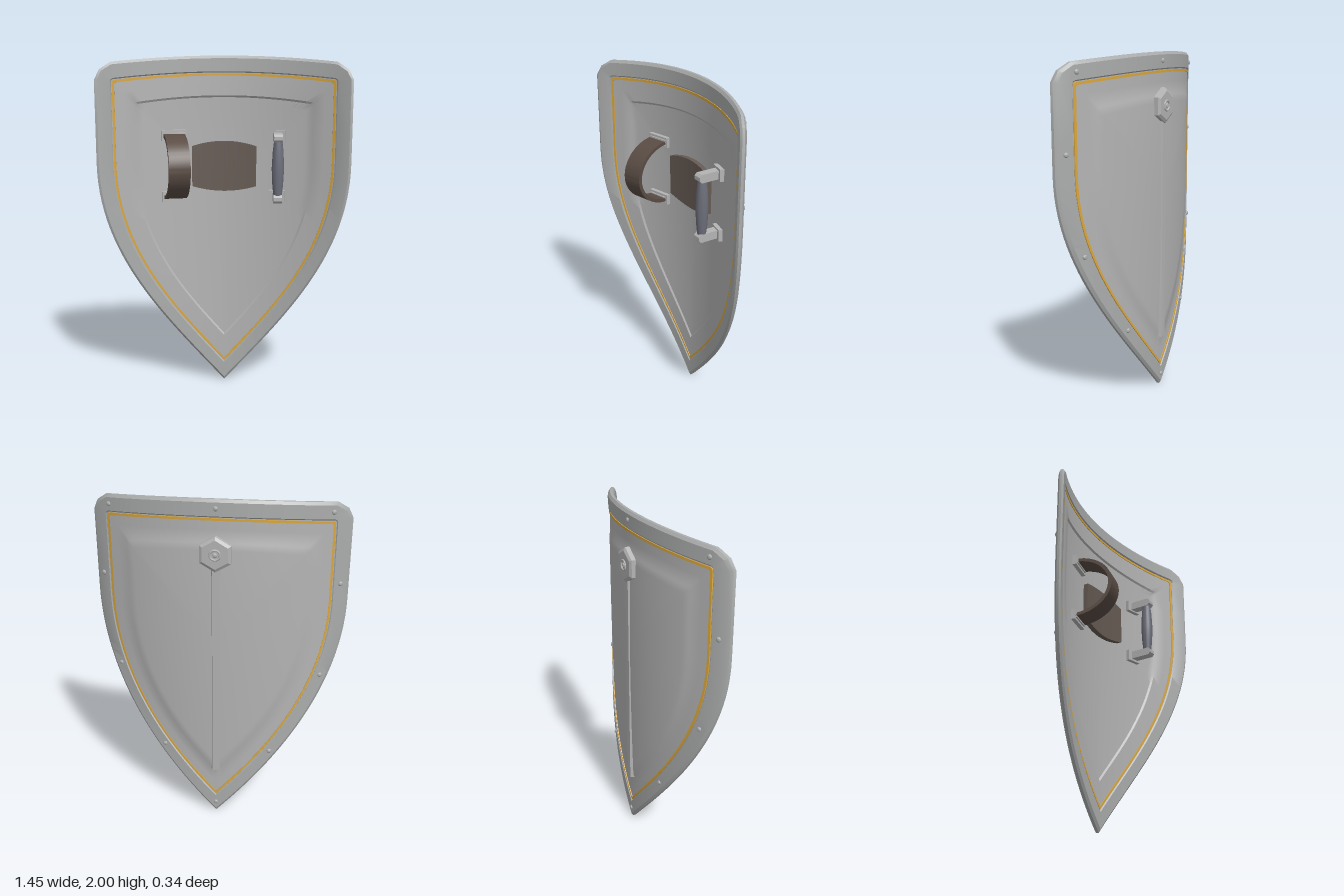
import * as THREE from 'three';
import { toCreasedNormals } from 'three/addons/utils/BufferGeometryUtils.js';

const R = 1.34; // radius of the shield's horizontal bend
const bend = (x) => -0.12 + R - Math.sqrt(R * R - x * x);
const tilt = (x) => -Math.asin(x / R);

// Heater outline inset by d, counterclockwise from the tip
function outline(d) {
  const w = 0.725 - d, tip = 0.005 + 1.4 * d, c = Math.max(0.012, 0.1 - d);
  const top = 2 - 1.1 * d, corner = 1.965 - 1.1 * d;
  const half = [];
  const side = new THREE.CubicBezierCurve(
    new THREE.Vector2(0, tip), new THREE.Vector2(0.38 - 0.72 * d, 0.42 + 0.65 * d),
    new THREE.Vector2(w, 0.85 + 0.2 * d), new THREE.Vector2(w, 1.4));
  for (let i = 0; i <= 28; i++) half.push(side.getPoint(i / 28));
  half.push(new THREE.Vector2(w, 1.6), new THREE.Vector2(w, corner - c));
  half.push(new THREE.Vector2(w - 0.27 * c, corner - 0.42 * c));
  for (let i = 0; i <= 16; i++) {
    const k = 1 - i / 16;
    half.push(new THREE.Vector2((w - 0.88 * c) * k, top - (top - corner) * k * k));
  }
  const mirrored = half.slice(1, -1).reverse().map((p) => new THREE.Vector2(-p.x, p.y));
  return half.concat(mirrored);
}

// Skin between outlines; each ring is [inset, depth offset, scale about the middle]
function loft(rings, closed) {
  const pos = [], index = [];
  let n = 0;
  for (const [d, off, s = 1] of rings) {
    const pts = outline(d);
    n = pts.length;
    for (const p of pts) {
      const x = p.x * s, y = 1.2 + (p.y - 1.2) * s;
      pos.push(x, y, bend(x) + off);
    }
  }
  const m = rings.length;
  for (let i = 0; i < (closed ? m : m - 1); i++) {
    for (let j = 0; j < n; j++) {
      const k = (j + 1) % n, o = ((i + 1) % m) * n;
      const a = i * n + j, b = i * n + k, c = o + j, e = o + k;
      index.push(a, c, b, b, c, e);
    }
  }
  const g = new THREE.BufferGeometry();
  g.setAttribute('position', new THREE.Float32BufferAttribute(pos, 3));
  g.setIndex(index);
  return g;
}

export function createModel() {
  const model = new THREE.Group();
  const paint = (name, color) => {
    const m = new THREE.MeshStandardMaterial({ color });
    m.name = name;
    return m;
  };
  const steel = paint('steel', 0xb4b4b4);
  const rimSteel = paint('rim steel', 0xabacac);
  const gold = paint('gold', 0xd9a63c);
  const padLeather = paint('pad leather', 0x665b54);
  const strapLeather = paint('strap leather', 0x5a4c44);
  const gripWrap = paint('grip wrap', 0x6c6e7a);

  const add = (parent, name, geometry, material, x = 0, y = 0, z = 0) => {
    const mesh = new THREE.Mesh(toCreasedNormals(geometry, 0.5), material);
    mesh.name = name;
    mesh.position.set(x, y, z);
    parent.add(mesh);
    return mesh;
  };

  // Rim with bevelled outer edge
  add(model, 'rim', loft([
    [0.088, 0.014], [0.082, 0.02], [0.014, 0.02], [0, 0.008], [0, -0.008],
    [0.014, -0.02], [0.082, -0.02], [0.088, -0.014],
  ], true), rimSteel);

  // Inlay line showing on both faces
  add(model, 'goldInlay', loft([[0.104, 0.016], [0.092, 0.016], [0.092, -0.016], [0.104, -0.016]], true), gold);

  // Panel with a dished centre: front rings out from the middle, back rings in again
  const scales = [0, 0.15, 0.3, 0.45, 0.6, 0.72, 0.84, 0.93];
  const dish = (s) => 0.01 * (1 - s * s);
  const front = scales.map((s) => [0.217, 0.004 - dish(s), s]);
  const back = scales.map((s) => [0.217, -0.016 - dish(s), s]).reverse();
  add(model, 'panel', loft([
    ...front, [0.217, 0.004], [0.207, 0.012], [0.15, 0.012], [0.086, 0.012],
    [0.086, -0.011], [0.15, -0.011], [0.207, -0.011], [0.217, -0.016], ...back,
  ], false), steel);

  // Central ridge on the back
  const ridgeShape = new THREE.Shape([[-0.03, 0], [0.03, 0], [0.018, 0.026], [-0.018, 0.026]]
    .map(([x, y]) => new THREE.Vector2(x, y)));
  const ridge = new THREE.ExtrudeGeometry(ridgeShape, { depth: 1.36, bevelEnabled: false });
  ridge.rotateX(-Math.PI / 2);
  add(model, 'ridge', ridge, steel, 0, 0.32, -0.127);

  // Hexagonal boss with a ring and a stud
  const boss = new THREE.Group();
  boss.name = 'hexBoss';
  boss.position.set(0, 1.705, -0.14);
  model.add(boss);
  const disc = (r1, r2, h, n) => new THREE.CylinderGeometry(r1, r2, h, n).rotateX(-Math.PI / 2);
  add(boss, 'hexBase', disc(0.1, 0.1, 0.026, 6), steel, 0, 0, -0.005);
  add(boss, 'hexBevel', disc(0.082, 0.1, 0.01, 6), steel, 0, 0, -0.023);
  add(boss, 'bossRing', new THREE.TorusGeometry(0.028, 0.006, 8, 24), steel, 0, 0, -0.028);
  add(boss, 'bossStud', new THREE.SphereGeometry(0.013, 14, 10).scale(1, 1, 0.6), steel, 0, 0, -0.028);

  // Rivets around the back of the rim
  const spots = [[0, 1.952], [0, 0.075]];
  for (const s of [-1, 1]) for (const [x, y] of [[0.62, 1.915], [0.68, 1.5], [0.595, 0.945], [0.32, 0.455]]) spots.push([s * x, y]);
  for (const [x, y] of spots) {
    const rivet = add(model, 'rivet', new THREE.SphereGeometry(0.014, 14, 10).scale(1, 1, 0.7), rimSteel, x, y, bend(x) - 0.02);
    rivet.rotation.y = tilt(x);
  }

  // Barrel-shaped arm pad, bent to the panel
  const padPos = [], padIndex = [], steps = 20;
  for (let i = 0; i <= steps; i++) {
    const x = -0.19 + 0.38 * i / steps;
    const h = 0.148 - 0.03 * (x / 0.19) ** 2, z = bend(x);
    padPos.push(x, 1.357 - h, z - 0.008, x, 1.357 - h, z + 0.026, x, 1.357 + h, z + 0.026, x, 1.357 + h, z - 0.008);
    if (i < steps) for (let k = 0; k < 4; k++) {
      const a = i * 4 + k, b = i * 4 + (k + 1) % 4;
      padIndex.push(a, a + 4, b, b, a + 4, b + 4);
    }
  }
  const e = steps * 4;
  padIndex.push(0, 1, 2, 0, 2, 3, e, e + 2, e + 1, e, e + 3, e + 2);
  const pad = new THREE.BufferGeometry();
  pad.setAttribute('position', new THREE.Float32BufferAttribute(padPos, 3));
  pad.setIndex(padIndex);
  add(model, 'armPad', pad, padLeather);

  // Arm strap: half-ellipse band on two brackets
  const strap = new THREE.Group();
  strap.name = 'armStrap';
  strap.position.set(-0.298, 1.36, bend(-0.298) + 0.008);
  strap.rotation.y = tilt(-0.298);
  model.add(strap);
  const arc = new THREE.Shape();
  arc.absellipse(0, 0, 0.235, 0.192, -Math.PI / 2, Math.PI / 2, false);
  arc.absellipse(0, 0, 0.213, 0.172, Math.PI / 2, -Math.PI / 2, true);
  const band = new THREE.ExtrudeGeometry(arc, { depth: 0.124, bevelEnabled: false, curveSegments: 32 });
  band.translate(0, 0, -0.062).rotateY(-Math.PI / 2);
  add(strap, 'strapBand', band, strapLeather);
  for (const s of [-1, 1]) {
    add(strap, 'strapPlate', new THREE.BoxGeometry(0.148, 0.062, 0.024), steel, 0, s * 0.182, 0.006);
    add(strap, 'strapClamp', new THREE.BoxGeometry(0.124, 0.036, 0.03), steel, 0, s * 0.182, 0.011);
  }

  // Hand grip: two posts on plates and a swollen bar
  const grip = new THREE.Group();
  grip.name = 'handGrip';
  grip.position.set(0.312, 1.36, 0.037);
  model.add(grip);
  const base = bend(0.312) - 0.037;
  const post = new THREE.Shape([[base, -0.024], [0.02, -0.024], [0.034, -0.01], [0.034, 0.01], [0.02, 0.024], [base, 0.024]]
    .map(([x, y]) => new THREE.Vector2(x, y)));
  for (const s of [-1, 1]) {
    const plate = add(grip, 'gripPlate', new THREE.BoxGeometry(0.095, 0.07, 0.024), steel, 0, s * 0.178, base + 0.014);
    plate.rotation.y = tilt(0.312);
    const arm = new THREE.ExtrudeGeometry(post, { depth: 0.05, bevelEnabled: false });
    arm.translate(0, 0, -0.025).rotateY(-Math.PI / 2);
    add(grip, 'gripPost', arm, steel, 0, s * 0.176, 0);
  }
  const bar = [[0, -0.16], [0.024, -0.16], [0.031, -0.1], [0.036, 0], [0.031, 0.1], [0.024, 0.16], [0, 0.16]];
  add(grip, 'gripBar', new THREE.LatheGeometry(bar.map(([x, y]) => new THREE.Vector2(x, y)), 20), gripWrap);

  return model;
}
